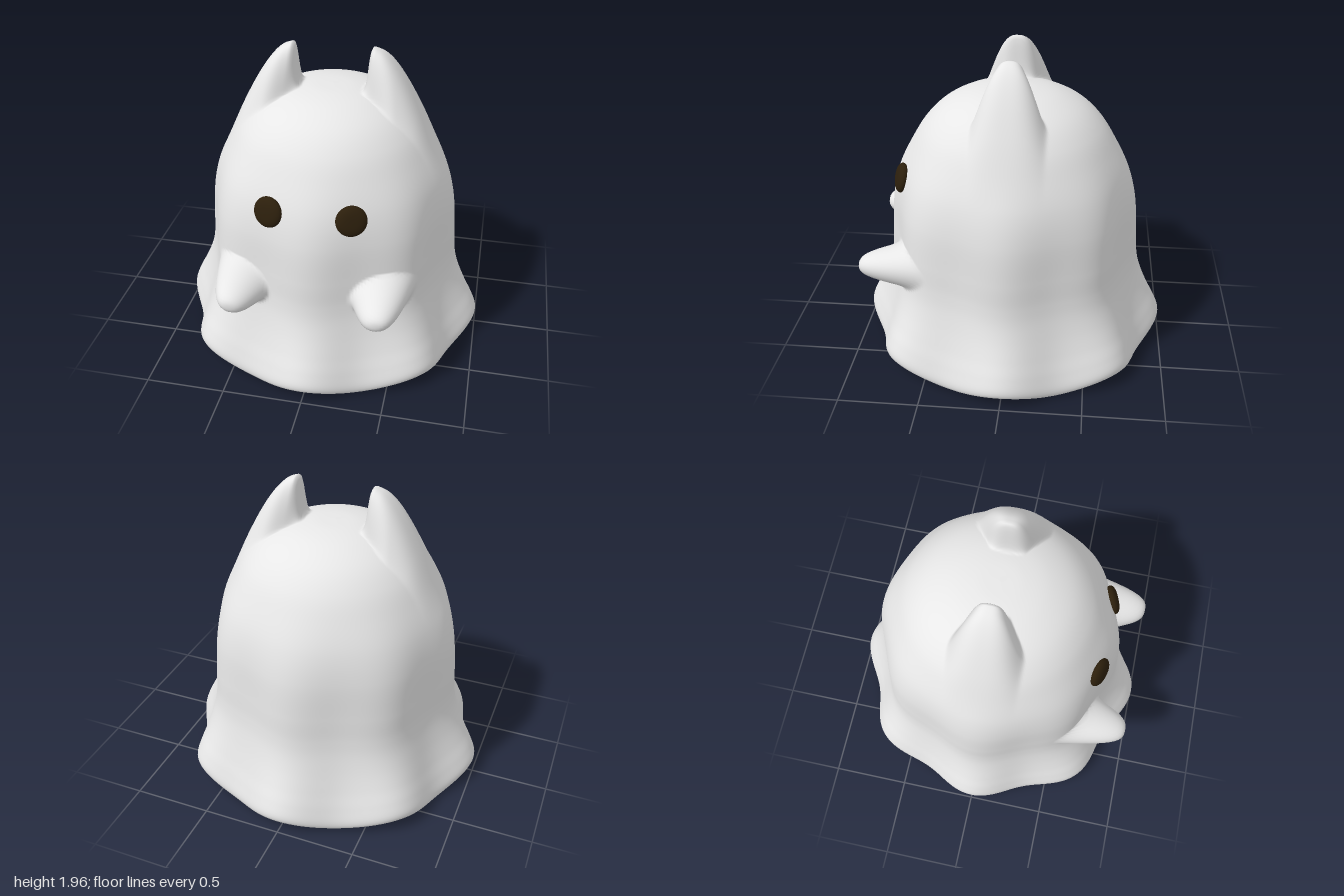
import * as THREE from 'three';

const { smoothstep, lerp } = THREE.MathUtils;

// Smooth curve through [radius, y] points, sampled at even spacing
function sampleProfile(points, count) {
  const curve = new THREE.CatmullRomCurve3(points.map(([r, y]) => new THREE.Vector3(r, y, 0)));
  return curve.getSpacedPoints(count);
}

// Pulls two blunt ears up out of the top of the sheet, leaning slightly inward
function raiseEars(p) {
  if (p.y < 1) return;
  const x = Math.abs(p.x);
  const width = lerp(0.11, 0.23, smoothstep(x, 0.18, 0.42));
  const t = Math.min(1, Math.abs(p.z) / width);
  const ridge = smoothstep(x, 0.19, 0.29) * (1 - smoothstep(x, 0.33, 0.71));
  const lift = ridge * Math.pow(1 - Math.pow(t, 3), 1.6);
  p.y += 0.285 * lift;
  p.x -= Math.sign(p.x) * 0.04 * lift;
}

// Pushes two stubby arms forward out of the front of the sheet
function pushArms(p, size, reach) {
  if (p.z < 0.2) return;
  const dx = Math.abs(p.x) - 0.44;
  const dy = p.y - 0.65;
  const u = (dx + 0.2 * dy) / (0.195 * size);
  const v = (dy - 0.2 * dx) / (0.145 * size);
  const t = Math.min(1, Math.hypot(u, v));
  const f = Math.pow(1 - Math.pow(t, 3), 1.6);
  p.z += f * Math.max(0, reach - p.z);
  p.y -= 0.012 * f;
}

// Draped sheet with eight folds, a rolled hem and an inner lining
function sheetGeometry() {
  const outer = sampleProfile([
    [0, 1.71], [0.15, 1.703], [0.3, 1.67], [0.45, 1.595], [0.56, 1.49], [0.65, 1.35],
    [0.735, 1.18], [0.785, 1.0], [0.81, 0.76], [0.82, 0.6], [0.837, 0.5], [0.87, 0.4],
    [0.92, 0.29], [0.967, 0.2], [0.998, 0.12], [0.993, 0.085], [0.97, 0.068],
  ], 150);
  const inner = sampleProfile([
    [0.97, 0.068], [0.948, 0.08], [0.935, 0.13], [0.88, 0.27], [0.83, 0.38], [0.79, 0.5],
    [0.77, 0.7], [0.74, 1.0], [0.69, 1.18], [0.6, 1.35], [0.52, 1.46], [0.42, 1.55],
    [0.28, 1.625], [0, 1.66],
  ], 60);
  const rows = [...outer, ...inner.slice(1)];
  const segments = 256;
  const positions = [];
  const index = [];
  rows.forEach((row, i) => {
    const depth = row.y < 0.6
      ? lerp(0.078, 0.05, smoothstep(row.y, 0.1, 0.6))
      : 0.05 * (1 - smoothstep(row.y, 0.7, 1.6));
    const drop = 0.07 * (1 - smoothstep(row.y, 0.07, 0.5));
    for (let j = 0; j < segments; j++) {
      const a = (j / segments) * Math.PI * 2;
      const valley = (1 - Math.cos(8 * a)) / 2;
      const r = row.x * (1 - depth * valley);
      const p = new THREE.Vector3(r * Math.sin(a), row.y - drop * valley, r * Math.cos(a));
      if (i < outer.length) {
        raiseEars(p);
        pushArms(p, 1, 0.95);
      } else {
        pushArms(p, 0.7, 0.85);
      }
      positions.push(p.x, p.y, p.z);
      if (i < rows.length - 1) {
        const k = (j + 1) % segments;
        const [p0, p1] = [i * segments, (i + 1) * segments];
        index.push(p0 + j, p1 + j, p1 + k, p0 + j, p1 + k, p0 + k);
      }
    }
  });
  const geometry = new THREE.BufferGeometry();
  geometry.setAttribute('position', new THREE.Float32BufferAttribute(positions, 3));
  geometry.setIndex(index);
  geometry.computeVertexNormals();
  return geometry;
}

// Round-edged button facing +z
function eyeGeometry() {
  const points = [];
  for (let i = 0; i <= 24; i++) {
    const a = (i / 24 - 0.5) * Math.PI;
    points.push(new THREE.Vector2(0.094 * Math.pow(Math.max(0, Math.cos(a)), 0.7), 0.036 * Math.sin(a)));
  }
  return new THREE.LatheGeometry(points, 40).rotateX(Math.PI / 2);
}

export function createModel() {
  const group = new THREE.Group();
  group.name = 'ghost';
  const cloth = new THREE.MeshStandardMaterial({ color: 0xf0f0f0 });
  cloth.name = 'white cloth';
  const dark = new THREE.MeshStandardMaterial({ color: 0x2c1f0c });
  dark.name = 'dark brown';
  const yellow = new THREE.MeshStandardMaterial({ color: 0xe0d64a });
  yellow.name = 'yellow';

  const add = (name, geometry, material) => {
    const mesh = new THREE.Mesh(geometry, material);
    mesh.name = name;
    group.add(mesh);
    return mesh;
  };

  add('sheet', sheetGeometry(), cloth);

  // Round body hidden under the sheet
  add('innerBody', new THREE.SphereGeometry(0.48, 48, 32), yellow).position.y = 0.95;

  // Button eyes lying on the face
  const eyeShape = eyeGeometry();
  for (const side of [-1, 1]) {
    const eye = add(side > 0 ? 'leftEye' : 'rightEye', eyeShape, dark);
    eye.position.set(side * 0.247, 1.17, 0.685);
    eye.rotation.set(-0.24, side * 0.35, 0, 'YXZ');
  }
  return group;
}
